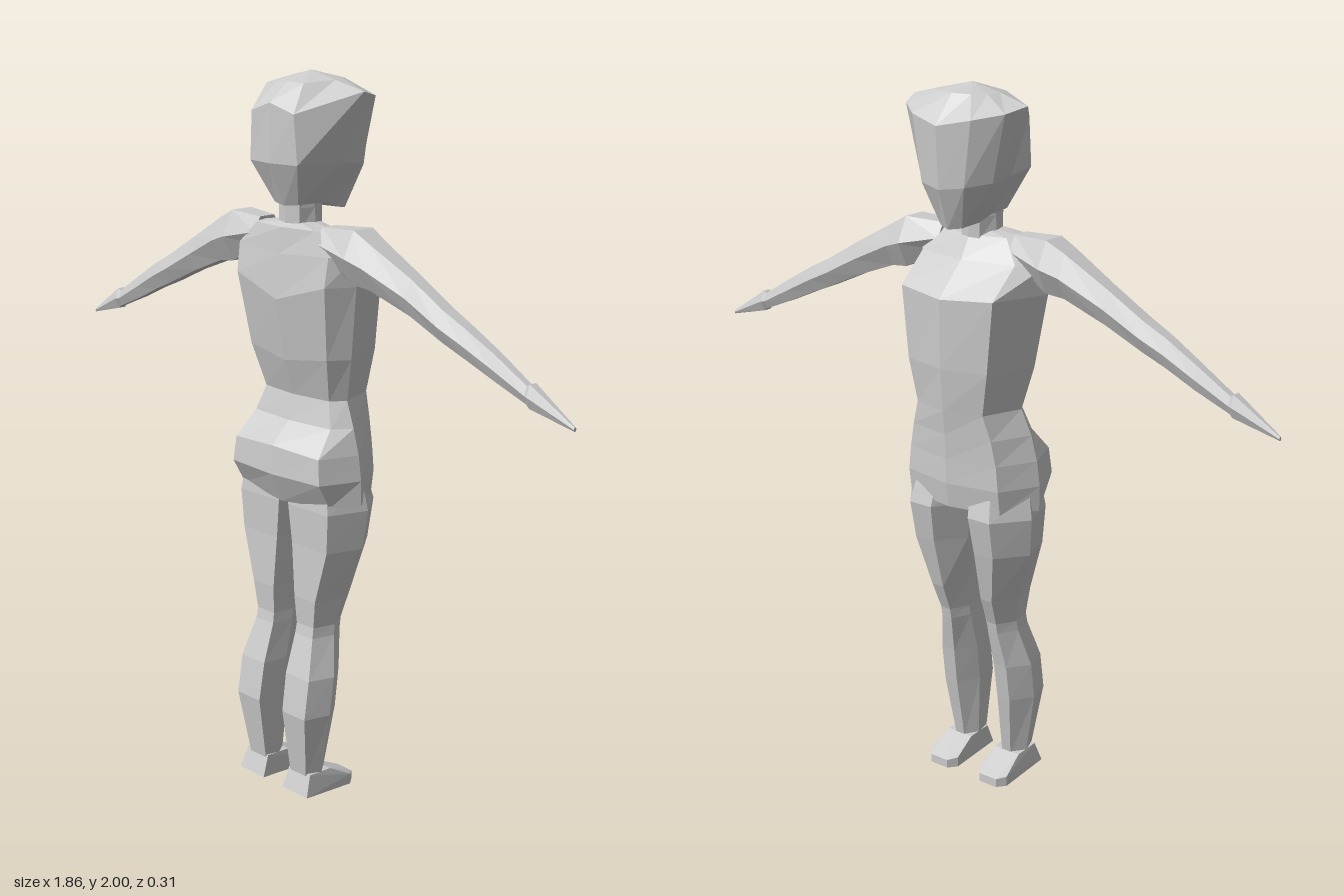
import * as THREE from 'three';
import { ConvexGeometry } from 'three/addons/geometries/ConvexGeometry.js';

const material = new THREE.MeshStandardMaterial({ color: 0xcccccc, flatShading: true });

// Skin a list of closed rings (arrays of [x, y, z]) and cap both ends.
function loft(name, rings) {
  const pos = [];
  const tri = (a, b, c) => pos.push(...a, ...b, ...c);
  const n = rings[0].length;
  const centre = (r) => [0, 1, 2].map((k) => r.reduce((s, p) => s + p[k], 0) / n);
  const first = rings[0], last = rings[rings.length - 1];
  const c0 = centre(first), c1 = centre(last);
  for (let j = 0; j < n; j++) {
    const k = (j + 1) % n;
    for (let i = 0; i < rings.length - 1; i++) {
      const a = rings[i][j], b = rings[i][k], c = rings[i + 1][k], d = rings[i + 1][j];
      tri(a, d, b);
      tri(d, c, b);
    }
    tri(c0, first[j], first[k]);
    tri(c1, last[k], last[j]);
  }
  const geometry = new THREE.BufferGeometry();
  geometry.setAttribute('position', new THREE.Float32BufferAttribute(pos, 3));
  geometry.computeVertexNormals();
  const mesh = new THREE.Mesh(geometry, material);
  mesh.name = name;
  return mesh;
}

// Complete a half ring that runs from the +z centre to the -z centre.
const flip = ([x, y, z]) => [-x, y, z];
const symmetric = (half) => [...half, ...half.slice(1, -1).reverse().map(flip)];
const mirrorRing = (ring) => ring.map(flip).reverse();

function head() {
  const halves = [
    [[0, 1.975, 0.085], [0.05, 1.972, 0.075], [0.09, 1.979, 0], [0.08, 1.979, -0.04], [0.05, 1.979, -0.07], [0, 1.98, -0.085]],
    [[0, 1.925, 0.148], [0.08, 1.9, 0.138], [0.185, 1.955, -0.01], [0.162, 1.94, -0.075], [0.095, 1.925, -0.13], [0, 1.905, -0.153]],
    [[0, 1.77, 0.15], [0.09, 1.77, 0.135], [0.127, 1.77, 0], [0.12, 1.76, -0.07], [0.07, 1.75, -0.125], [0, 1.74, -0.143]],
    [[0, 1.655, 0.1], [0.045, 1.66, 0.09], [0.06, 1.66, 0], [0.055, 1.645, -0.04], [0.035, 1.635, -0.09], [0, 1.63, -0.105]],
  ];
  const crown = halves[0].map(() => [0, 2, 0]);
  return loft('head', [crown, ...halves].map(symmetric));
}

// Rows: y, half width, rear z, side z, front z, drop of the centre line.
function torso() {
  const rows = [
    [1.612, 0.05, 0.09, 0.04, -0.01, 0],
    [1.6, 0.14, 0.11, 0.05, -0.015, 0],
    [1.54, 0.215, 0.118, 0.045, -0.05, 0.01],
    [1.46, 0.212, 0.13, 0.04, -0.142, 0.05],
    [1.26, 0.185, 0.1, 0.03, -0.14, 0.02],
    [1.14, 0.155, 0.068, 0.015, -0.13, 0],
    [1.07, 0.185, 0.085, 0.02, -0.122, 0],
    [1.0, 0.205, 0.145, 0.02, -0.118, -0.01],
    [0.93, 0.215, 0.15, 0.02, -0.118, 0],
    [0.86, 0.214, 0.11, 0.02, -0.108, 0.015],
  ];
  return loft('torso', rows.map(([y, w, zb, zs, zf, drop]) => symmetric([
    [0, y - drop, zb],
    [0.8 * w, y, zb - 0.015],
    [w, y, zs],
    [0.72 * w, y, zf + 0.03],
    [0, y - (zf < -0.141 ? 0.01 : 0), zf],
  ])));
}

// Rows: x, y, vertical radius, z, depth radius.
const armRings = [
  [0.12, 1.57, 0.04, 0.05, 0.05],
  [0.235, 1.545, 0.07, 0.04, 0.07],
  [0.29, 1.527, 0.059, 0.042, 0.06],
  [0.42, 1.467, 0.048, 0.036, 0.043],
  [0.53, 1.41, 0.041, 0.036, 0.04],
  [0.6, 1.378, 0.038, 0.035, 0.034],
  [0.69, 1.332, 0.033, 0.03, 0.027],
  [0.79, 1.281, 0.023, 0.028, 0.02],
  [0.8, 1.28, 0.03, 0.028, 0.024],
  [0.93, 1.222, 0.005, 0.025, 0.005],
].map(([x, y, ry, z, rz]) => Array.from({ length: 6 }, (_, i) => {
  const t = (i * Math.PI) / 3;
  return [x, y + (ry * Math.sin(t)) / 0.866, z + rz * Math.cos(t)];
}));

// Rows: y, inner x, outer x, rear z, front z.
const legRings = [
  [0.9, 0.0, 0.2, 0.1, -0.09],
  [0.84, 0.002, 0.212, 0.105, -0.105],
  [0.73, 0.016, 0.2, 0.102, -0.085],
  [0.58, 0.034, 0.145, 0.105, -0.05],
  [0.5, 0.04, 0.13, 0.1, -0.02],
  [0.47, 0.038, 0.132, 0.105, -0.015],
  [0.36, 0.035, 0.16, 0.14, 0.005],
  [0.25, 0.038, 0.16, 0.157, 0.02],
  [0.06, 0.045, 0.13, 0.13, 0.05],
].map(([y, xi, xo, zb, zf]) => {
  const w = xo - xi, zm = zb * 0.45 + zf * 0.55;
  return [
    [xi + 0.08 * w, y, zb], [xo - 0.18 * w, y, zb], [xo, y, zm],
    [xi + 0.65 * w, y, zf], [xi + 0.3 * w, y, zf], [xi, y, zm],
  ];
});

function foot(name, side) {
  const points = [
    [0.045, 0.072, 0.128], [0.13, 0.072, 0.128], [0.045, 0.068, 0.05], [0.13, 0.068, 0.05],
    [0.04, 0.012, 0.15], [0.14, 0.012, 0.15], [0.04, 0, -0.02], [0.14, 0, -0.02],
    [0.06, 0, -0.045], [0.12, 0, -0.045], [0.06, 0.025, -0.045], [0.12, 0.025, -0.045],
    [0.04, 0.03, -0.02], [0.14, 0.03, -0.02],
  ].map(([x, y, z]) => new THREE.Vector3(side * x, y, z));
  const mesh = new THREE.Mesh(new ConvexGeometry(points), material);
  mesh.name = name;
  return mesh;
}

export function createModel() {
  const group = new THREE.Group();
  group.name = 'figure';
  group.add(head(), torso());

  // Neck
  group.add(loft('neck', [1.69, 1.65, 1.59].map((y, i) => symmetric([
    [0, y, 0.095], [0.04, y, 0.08], [0.045 + 0.005 * i, y, 0.035], [0.03, y, -0.01], [0, y, -0.018],
  ]))));

  // Paired limbs
  for (const [label, side] of [['left', 1], ['right', -1]]) {
    const place = (rings) => (side > 0 ? rings : rings.map(mirrorRing));
    group.add(
      loft(label + 'Arm', place(armRings)),
      loft(label + 'Leg', place(legRings)),
      foot(label + 'Foot', side),
    );
  }
  return group;
}
